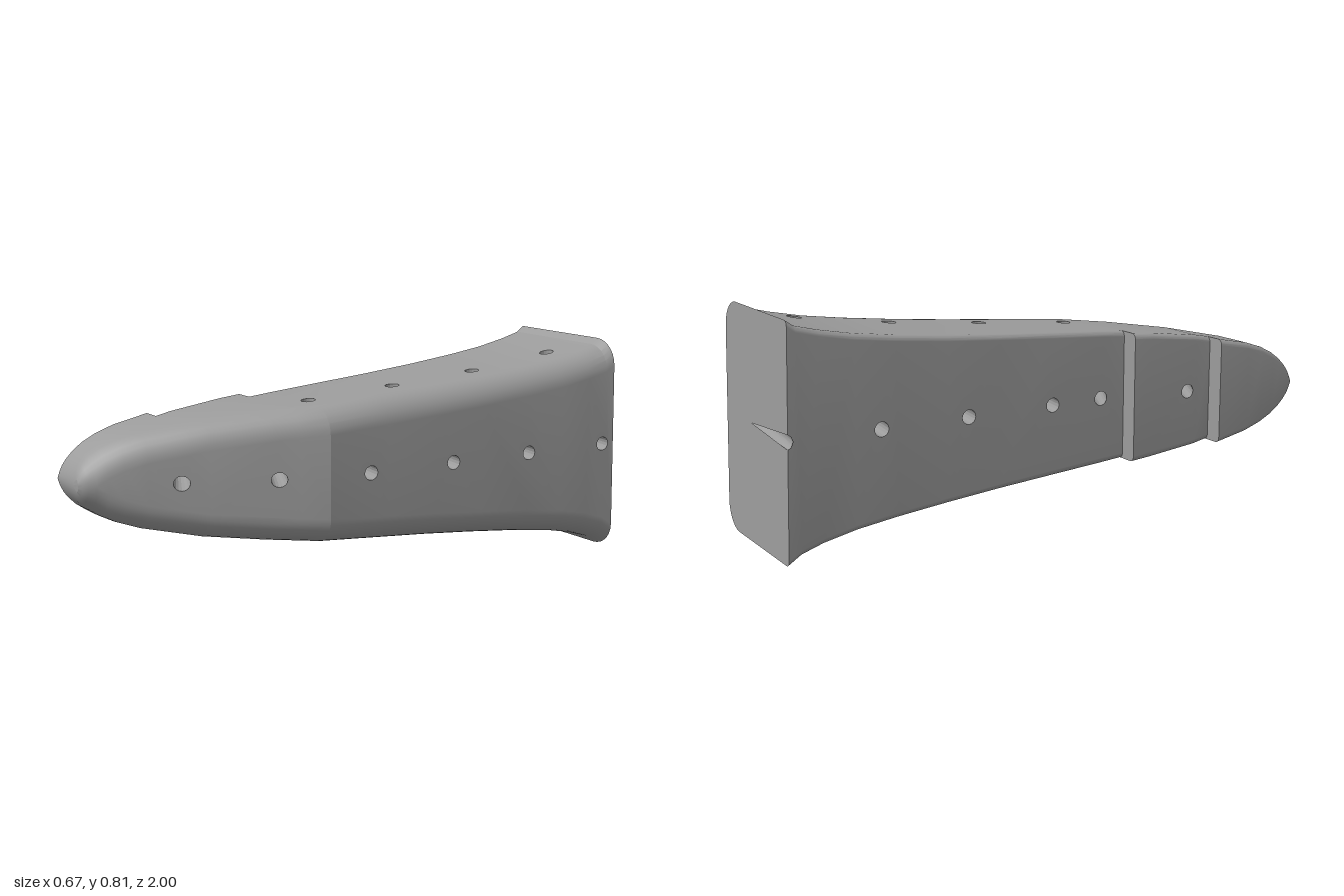
import * as THREE from 'three';
import { toCreasedNormals } from 'three/addons/utils/BufferGeometryUtils.js';

// Stations along the length: z, top y, bottom y
const PROFILE = [
  [1, 0.42, 0.42], [0.999, 0.433, 0.407], [0.995, 0.449, 0.391], [0.985, 0.47, 0.37],
  [0.97, 0.49, 0.35], [0.945, 0.515, 0.325], [0.91, 0.54, 0.3], [0.86, 0.565, 0.275],
  [0.79, 0.588, 0.251], [0.6, 0.625, 0.212], [0.4, 0.65, 0.19], [0.23, 0.664, 0.176],
  [0, 0.68, 0.159], [-0.2, 0.694, 0.144], [-0.4, 0.71, 0.126], [-0.6, 0.73, 0.105],
  [-0.75, 0.749, 0.085], [-0.87, 0.772, 0.06], [-0.95, 0.792, 0.034], [-1, 0.813, 0.002],
];
// Sloping side in plan: z, x
const SIDE = [[1, -0.21], [0.995, -0.18], [0.985, -0.165], [0.97, -0.152], [0.945, -0.138],
  [0.23, 0.205], [-1, 0.335]];
// Stepped side: front z, back z, x
const STEPS = [[1, 0.66, -0.335], [0.66, 0.32, -0.268], [0.32, -1, -0.2]];
const R = 0.026, MID = 0.42;
// Cross holes: z on sloping side, z on stepped side, x on stepped side
const CROSS = [[0.69, 0.56, -0.268], [0.39, 0.22, -0.2], [0.07, 0.015, -0.2],
  [-0.27, -0.325, -0.2], [-0.6, -0.656, -0.2], [-0.94, -0.996, -0.2]];
// Upright holes: x, z
const UPRIGHT = [[0.035, 0.21], [0.07, -0.13], [0.108, -0.47], [0.142, -0.81]];

function sample(table, z, k) {
  for (let i = 1; i < table.length; i++) {
    const a = table[i - 1], b = table[i];
    if (z >= b[0]) return THREE.MathUtils.lerp(b[k], a[k], (z - b[0]) / (a[0] - b[0]));
  }
  return table[table.length - 1][k];
}
const topY = z => sample(PROFILE, z, 1);
const botY = z => sample(PROFILE, z, 2);
const sideX = z => sample(SIDE, z, 1);

function arc(cx, cy, r, a0, a1, n = 7) {
  return Array.from({ length: n + 1 }, (_, i) => {
    const a = a0 + (a1 - a0) * i / n;
    return [cx + r * Math.cos(a), cy + r * Math.sin(a)];
  });
}

// The four rounded corners of the cross-section at z
function section(z, xL) {
  const t = topY(z), b = botY(z), xR = sideX(z), h = (t - b) / 2, P = Math.PI;
  const r = Math.min(0.095, h), s = Math.min(0.02, h);
  return {
    z,
    tl: arc(xL + s, t - s, s, P, P / 2),
    tr: arc(xR - r, t - r, r, P / 2, 0),
    br: arc(xR - r, b + r, r, 0, -P / 2),
    bl: arc(xL + s, b + s, s, -P / 2, -P),
  };
}

// Collects triangles; the rear end leans slightly forward towards the top
class Builder {
  pos = [];
  tri(a, b, c, flip) {
    const v = (flip ? [a, c, b] : [a, b, c]).map(p =>
      new THREE.Vector3(p[0], p[1], p[2] < -0.99 ? p[2] + 0.02 * p[1] / 0.8 : p[2]));
    const n = v[1].clone().sub(v[0]).cross(v[2].clone().sub(v[0]));
    if (n.length() < 1e-10) return;
    v.forEach(p => this.pos.push(p.x, p.y, p.z));
  }
  loft(rows, flip = false) {
    for (let i = 0; i + 1 < rows.length; i++)
      for (let j = 0; j + 1 < rows[i].length; j++) {
        const a = rows[i][j], b = rows[i][j + 1], c = rows[i + 1][j + 1], d = rows[i + 1][j];
        this.tri(a, b, d, flip);
        this.tri(b, c, d, flip);
      }
  }
  panel(outline, holes, map, flip) {
    const vec = p => new THREE.Vector2(p[0], p[1]);
    const shape = new THREE.Shape(outline.map(vec));
    holes.forEach(h => shape.holes.push(new THREE.Path(arc(h[0], h[1], R, 0, Math.PI * 2, 16).slice(0, 16).map(vec))));
    const g = new THREE.ShapeGeometry(shape), p = g.attributes.position, ix = g.index.array;
    const at = i => map(p.getX(i), p.getY(i));
    for (let i = 0; i < ix.length; i += 3) this.tri(at(ix[i]), at(ix[i + 1]), at(ix[i + 2]), flip);
  }
  mesh(name, material) {
    const g = new THREE.BufferGeometry();
    g.setAttribute('position', new THREE.Float32BufferAttribute(this.pos, 3));
    const m = new THREE.Mesh(toCreasedNormals(g, 0.32), material);
    m.name = name;
    return m;
  }
}

// One face of the body, split at stations that do not cut through a hole.
// holes are [u, v, z]; edges gives the two border points at a section
function face(body, secs, holes, edges, map, flip, notch) {
  let start = 0;
  for (let i = 1; i < secs.length; i++) {
    const last = i === secs.length - 1;
    if (!last && holes.some(h => Math.abs(h[2] - secs[i].z) < 0.035)) continue;
    const part = secs.slice(start, i + 1).map(edges);
    const inside = holes.filter(h => h[2] < secs[start].z && h[2] > secs[i].z && h[2] > -0.98);
    const outline = [...part.map(e => e[0]), ...(last && notch ? notch : []), ...part.map(e => e[1]).reverse()];
    body.panel(outline, inside, map, flip);
    start = i;
  }
}

export function createModel() {
  const group = new THREE.Group();
  const grey = new THREE.MeshStandardMaterial({ color: 0x9c9c9c });
  grey.name = 'grey';

  // Wedge body: rounded corners lofted, flat faces pierced
  const body = new Builder();
  STEPS.forEach(([z0, z1, xL], k) => {
    const zs = [z0, ...PROFILE.map(p => p[0]).filter(z => z < z0 && z > z1), z1];
    const secs = zs.map(z => section(z, xL));
    for (const c of ['tl', 'tr', 'br', 'bl'])
      body.loft(secs.map(s => s[c].map(p => [p[0], p[1], s.z])));
    const up = UPRIGHT.map(([x, z]) => [x, z, z]);
    const right = CROSS.map(c => [c[0], MID, c[0]]);
    const left = CROSS.map(c => [c[1], MID, c[1]]);
    face(body, secs, up, s => [[s.tl.at(-1)[0], s.z], [s.tr[0][0], s.z]], (x, z) => [x, topY(z), z], true);
    face(body, secs, up, s => [[s.bl[0][0], s.z], [s.br.at(-1)[0], s.z]], (x, z) => [x, botY(z), z], false);
    face(body, secs, right, s => [[s.z, s.tr.at(-1)[1]], [s.z, s.br[0][1]]], (z, y) => [sideX(z), y, z], true);
    const notch = k === 2 && [[-1, 0.445], [-0.978, 0.438], [-0.971, MID], [-0.978, 0.402], [-1, 0.395]];
    face(body, secs, left, s => [[s.z, s.tl[0][1]], [s.z, s.bl.at(-1)[1]]], (z, y) => [xL, y, z], false, notch);

    const end = secs.at(-1);
    if (k < 2) {
      // Step shoulder facing the rear
      const next = section(z1, STEPS[k + 1][2]);
      body.panel([...end.bl, ...end.tl, ...[...next.tl].reverse(), ...[...next.bl].reverse()],
        [], (x, y) => [x, y, z1], true);
    } else {
      // Rear end with the tapering slot
      body.panel([...end.tl, ...end.tr, ...end.br, ...end.bl, [xL, 0.395], [0.11, MID], [xL, 0.445]],
        [], (x, y) => [x, y, z1], true);
    }
  });
  group.add(body.mesh('wedgeBody', grey));

  // Walls of the cross holes; the rearmost is cut open by the rear end
  const cross = new Builder();
  for (const [zr, zl, xl] of CROSS) {
    const rows = [];
    for (let i = 0; i <= 12; i++) {
      const t = i / 12, zc = zr + (zl - zr) * t;
      const lim = Math.acos(THREE.MathUtils.clamp((-0.988 - zc) / R, -1, 1));
      rows.push(arc(zc, MID, R, -lim, lim, 16).map(([z, y]) =>
        [THREE.MathUtils.lerp(sideX(z - zc + zr), xl, t), y, z]));
    }
    cross.loft(rows, true);
  }
  group.add(cross.mesh('crossHoleWalls', grey));

  // Walls of the upright holes
  const upright = new Builder();
  for (const [x, z] of UPRIGHT) {
    const ring = arc(x, z, R, 0, Math.PI * 2, 16);
    upright.loft([topY, botY].map(f => ring.map(p => [p[0], f(p[1]), p[1]])), true);
  }
  group.add(upright.mesh('uprightHoleWalls', grey));
  return group;
}
